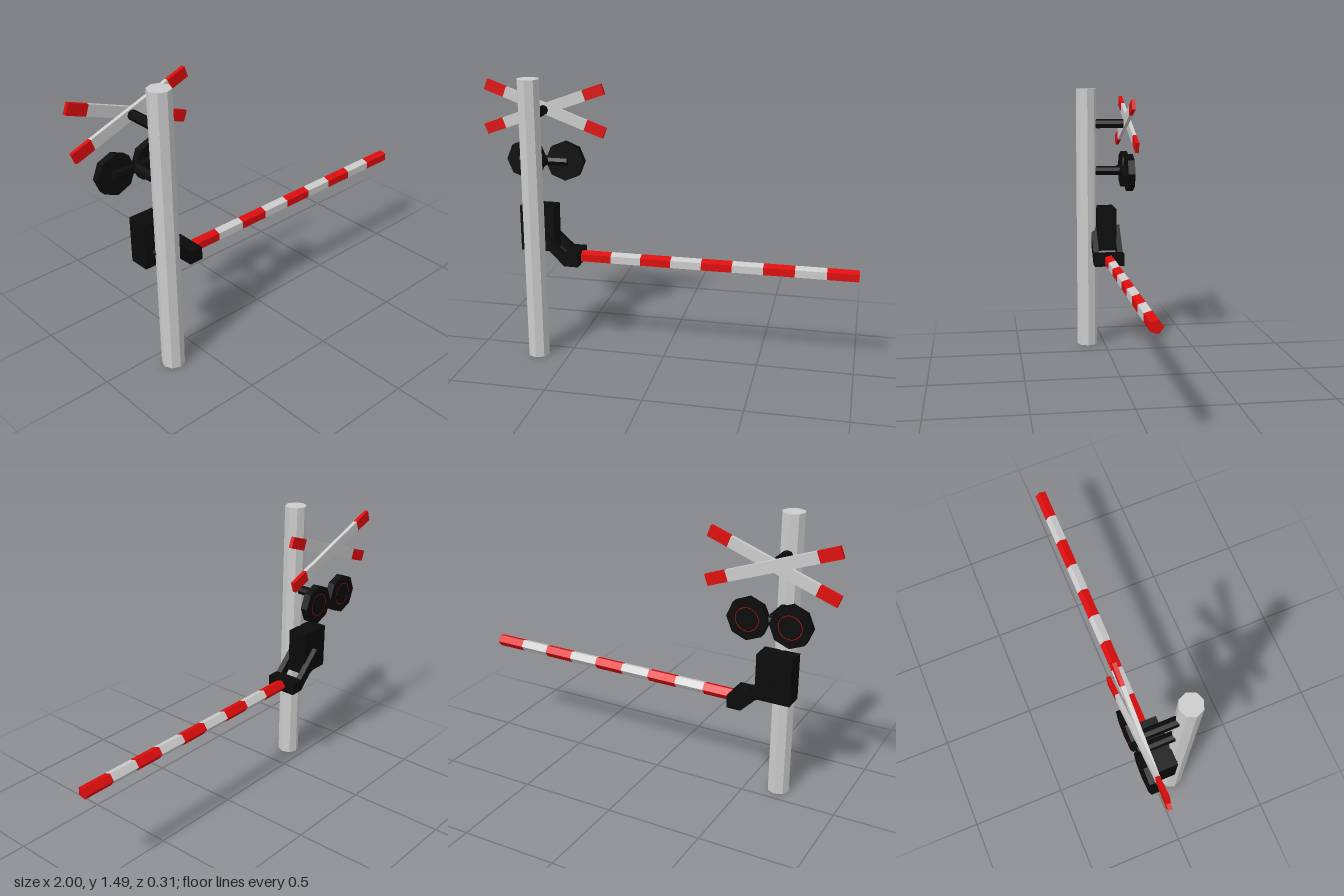
import * as THREE from 'three';

const material = (color, extra = {}) => new THREE.MeshStandardMaterial({ color, flatShading: true, ...extra });

export function createModel() {
  const model = new THREE.Group();
  const grey = material(0xcccccc);
  const red = material(0xdd0c0c);
  const black = material(0x0a0a0a);
  const poleX = -0.665;

  const add = (name, geometry, mat, x, y, z, parent = model) => {
    const mesh = new THREE.Mesh(geometry, mat);
    mesh.name = name;
    mesh.position.set(x, y, z);
    parent.add(mesh);
    return mesh;
  };
  // Cylinder lying along z
  const rodZ = (radius, length, sides) => new THREE.CylinderGeometry(radius, radius, length, sides).rotateX(Math.PI / 2);

  // Octagonal post
  add('post', new THREE.CylinderGeometry(0.058, 0.058, 1.485, 8), grey, poleX, 0.7425, 0.098);

  // Crossed warning boards, one in front of the other
  const crossbuck = new THREE.Group();
  crossbuck.name = 'crossedBoards';
  crossbuck.position.set(poleX, 1.29, 0);
  model.add(crossbuck);
  for (const s of [-1, 1]) {
    const board = new THREE.Group();
    board.name = s < 0 ? 'outerBoard' : 'innerBoard';
    board.position.z = s < 0 ? -0.144 : -0.124;
    board.rotation.z = s * THREE.MathUtils.degToRad(20.1);
    crossbuck.add(board);
    add('boardMiddle', new THREE.BoxGeometry(0.466, 0.057, 0.02), grey, 0, 0, 0, board);
    for (const e of [-1, 1]) {
      add('boardEnd', new THREE.BoxGeometry(0.109, 0.057, 0.02), red, e * 0.2875, 0, 0, board);
    }
  }

  // Horizontal arms carrying the boards and the lamps
  for (const y of [1.288, 1.02]) add('supportArm', rodZ(0.026, 0.164, 8), black, poleX, y, -0.034);
  add('lampCrossbar', new THREE.CylinderGeometry(0.026, 0.026, 0.26, 8).rotateZ(Math.PI / 2), black, -0.67, 1.02, -0.114);

  // Pair of warning lamps with a thin red rim round each lens
  for (const s of [-1, 1]) {
    const lamp = new THREE.Group();
    lamp.name = s < 0 ? 'rightLamp' : 'leftLamp';
    lamp.position.set(poleX + s * 0.107, 1.017, -0.134);
    model.add(lamp);
    add('lampPlate', rodZ(0.105, 0.039, 8), black, 0, 0, 0, lamp);
    add('lensRim', new THREE.RingGeometry(0.057, 0.06, 24).rotateY(Math.PI), red, 0, 0, -0.0205, lamp);
  }

  // Drive housing
  add('driveHousing', new THREE.BoxGeometry(0.182, 0.24, 0.108), black, -0.666, 0.688, -0.008);

  // Forked bracket: two cranked plates joined by an end block
  const plate = new THREE.Shape([
    [-0.65, 0.705], [-0.715, 0.645], [-0.515, 0.502], [-0.44, 0.502], [-0.44, 0.57], [-0.51, 0.57],
  ].map(([x, y]) => new THREE.Vector2(x, y)));
  // Straighten the lower crank edge
  plate.curves[1].v2.set(-0.59, 0.577);
  plate.curves[2].v1.set(-0.59, 0.577);
  plate.curves.splice(2, 1,
    new THREE.LineCurve(new THREE.Vector2(-0.59, 0.577), new THREE.Vector2(-0.515, 0.502)),
  );
  const plateGeometry = new THREE.ExtrudeGeometry(plate, { depth: 0.032, bevelEnabled: false });
  for (const z of [-0.09, 0.046]) add('bracketPlate', plateGeometry, black, 0, 0, z);
  add('bracketEnd', new THREE.BoxGeometry(0.075, 0.068, 0.168), black, -0.4775, 0.536, -0.006);

  // Five-sided barrier boom in alternating stripes
  const boom = new THREE.Group();
  boom.name = 'barrierBoom';
  model.add(boom);
  const stripes = 9, start = -0.44, length = (1 - start) / stripes;
  const stripe = new THREE.CylinderGeometry(0.033, 0.033, length, 5, 1, false, Math.PI).rotateZ(-Math.PI / 2);
  for (let i = 0; i < stripes; i++) {
    add('boomStripe', stripe, i % 2 ? grey : red, start + (i + 0.5) * length, 0.536, -0.004, boom);
  }
  return model;
}
